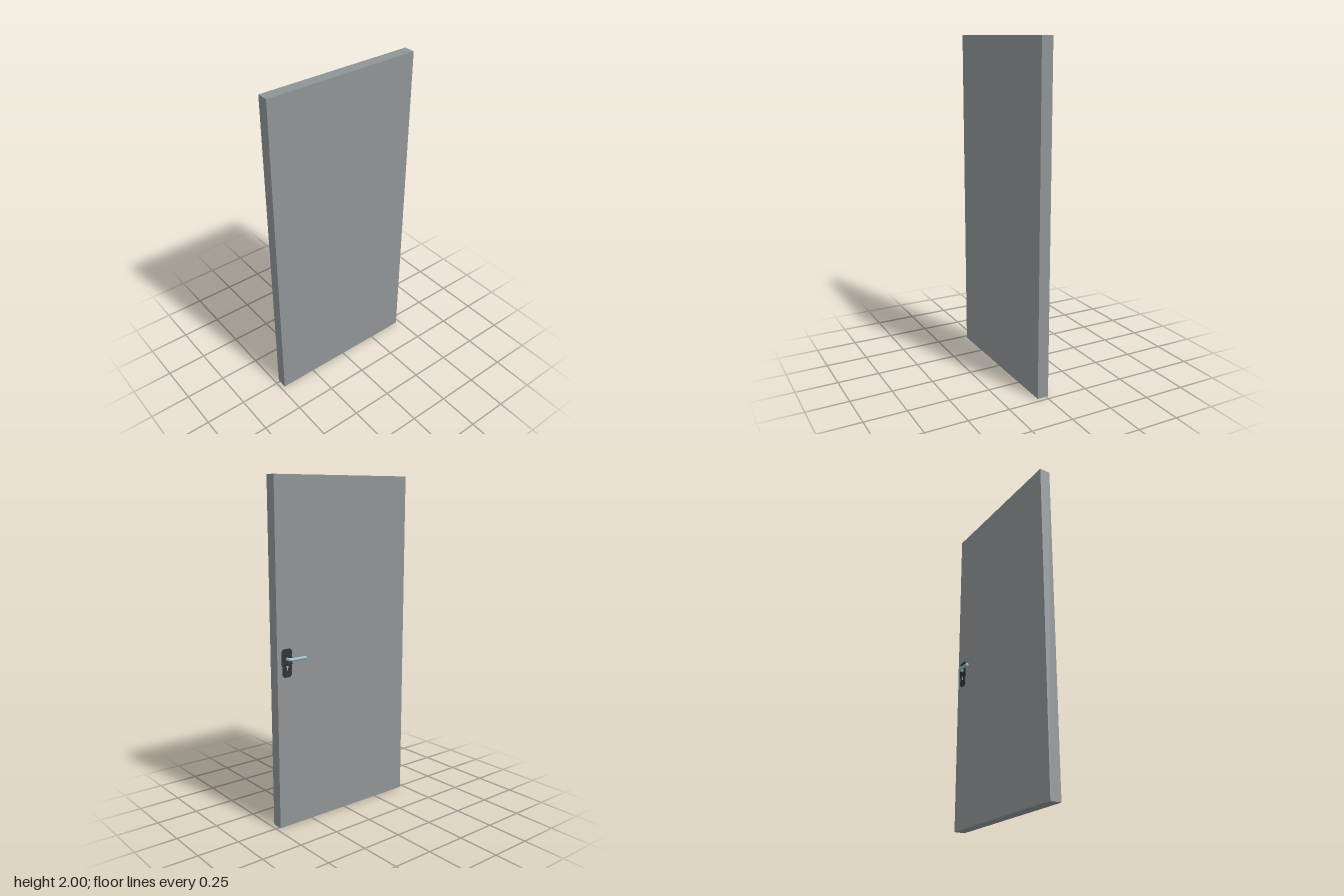
import * as THREE from 'three';

const mat = (color) => new THREE.MeshStandardMaterial({ color });

function add(parent, name, geometry, material, x = 0, y = 0, z = 0) {
  const mesh = new THREE.Mesh(geometry, material);
  mesh.name = name;
  mesh.position.set(x, y, z);
  parent.add(mesh);
  return mesh;
}

// Outline with chamfered corners, slightly narrower below the lever
function plateShape() {
  const half = [[0.022, 0.058], [0.034, 0.044], [0.034, -0.03], [0.03, -0.045], [0.03, -0.092], [0.018, -0.105]];
  const mirrored = half.map(([x, y]) => [-x, y]).reverse();
  return new THREE.Shape([...half, ...mirrored].map(([x, y]) => new THREE.Vector2(x, y)));
}

export function createModel() {
  const door = new THREE.Group();
  door.name = 'door';
  const doorMat = mat(0x8f9497);
  const plateMat = mat(0x333333);
  const leverMat = mat(0x92babd);
  const back = -0.013;

  // Door leaf
  add(door, 'leaf', new THREE.BoxGeometry(0.95, 2, 0.067), doorMat, 0, 1, 0.0205);

  // Handle set on the back face
  const handle = new THREE.Group();
  handle.name = 'handle';
  handle.position.set(0.412, 1, back);
  door.add(handle);

  const plate = new THREE.ExtrudeGeometry(plateShape(), { depth: 0.005, bevelEnabled: false });
  add(handle, 'backPlate', plate, plateMat, 0, 0, -0.005);

  // Bent lever: stem, quarter bend, grip
  const r = 0.0095, reach = -0.033, bend = 0.016;
  const path = new THREE.CurvePath();
  const v = (x, z) => new THREE.Vector3(x, 0, z);
  path.add(new THREE.LineCurve3(v(0, 0), v(0, reach + bend)));
  path.add(new THREE.QuadraticBezierCurve3(v(0, reach + bend), v(0, reach), v(-bend, reach)));
  path.add(new THREE.LineCurve3(v(-bend, reach), v(-0.107, reach)));
  add(handle, 'lever', new THREE.TubeGeometry(path, 48, r, 20), leverMat);
  const cap = add(handle, 'leverEnd', new THREE.CircleGeometry(r, 20), leverMat, -0.107, 0, reach);
  cap.rotation.y = -Math.PI / 2;

  // Lock cylinder: round plug with a narrow lower body
  const plug = new THREE.CylinderGeometry(0.007, 0.007, 0.008, 20).rotateX(Math.PI / 2);
  add(handle, 'lockPlug', plug, leverMat, 0, -0.045, -0.004);
  add(handle, 'lockBody', new THREE.BoxGeometry(0.007, 0.016, 0.007), leverMat, 0, -0.055, -0.0035);

  return door;
}
